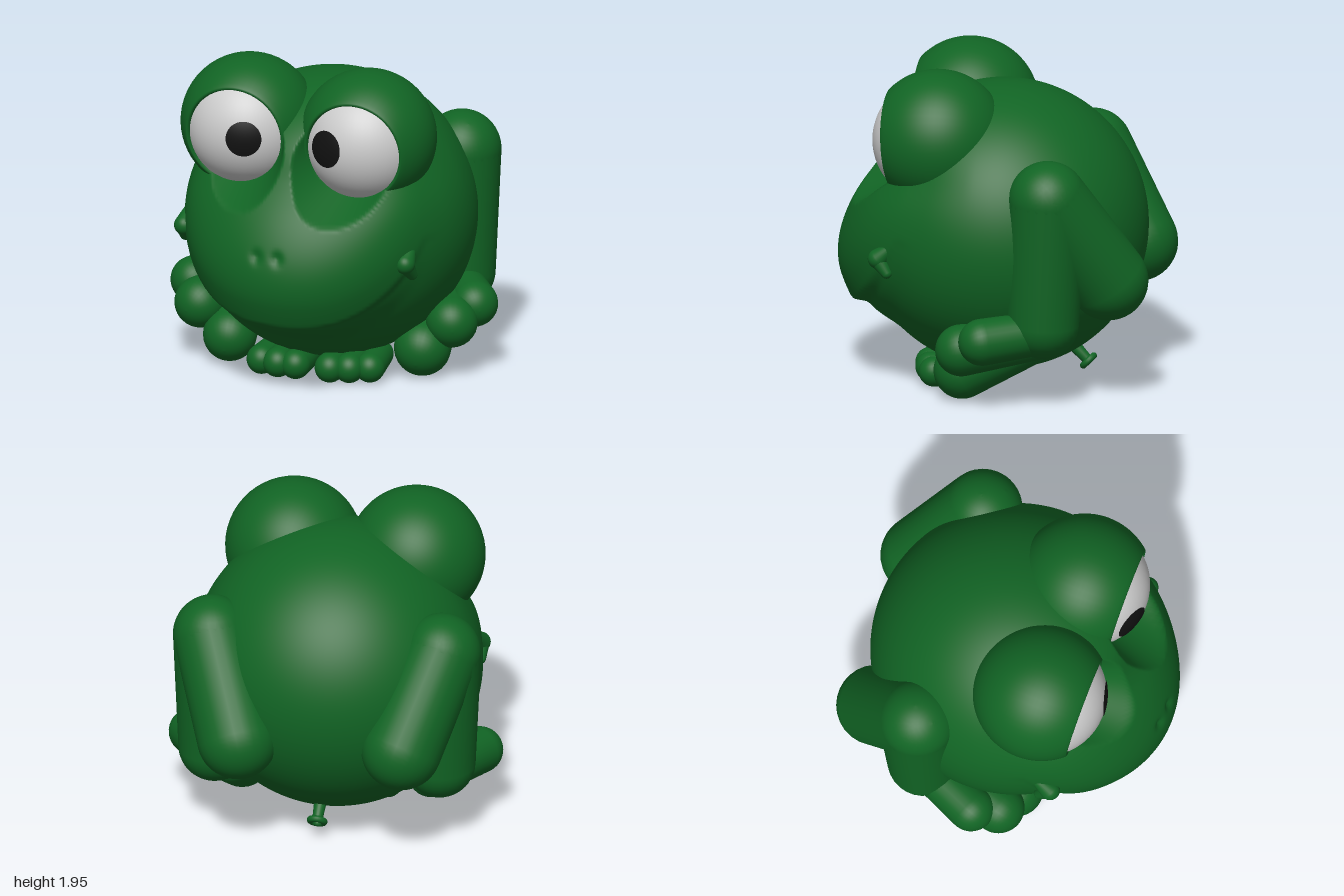
import * as THREE from 'three';
import { mergeVertices } from 'three/addons/utils/BufferGeometryUtils.js';

const mat = (color) => new THREE.MeshStandardMaterial({ color });
const green = mat(0x11642a), white = mat(0xcccccc), black = mat(0x111111);
green.color.set(0x116424);
const V = (a) => new THREE.Vector3(...a);
const UP = new THREE.Vector3(0, 1, 0);
const { smoothstep, degToRad } = THREE.MathUtils;

// Eye centres: right, left; gaze is where the pupil sits off the centre
const EYES = [
  { name: 'right', c: [-0.41, 1.54, 0.33], gaze: [0.095, 0.01], r: 0.107 },
  { name: 'left', c: [0.335, 1.515, 0.33], gaze: [-0.145, 0.02], r: 0.112 },
];
const CENTRE = V([0, 0.95, 0]);
const NOSTRILS = [[-0.142, 0.915, 0.97], [-0.008, 0.915, 0.97]].map((p) => V(p).sub(CENTRE).normalize());

function add(parent, geometry, material, name) {
  const mesh = new THREE.Mesh(geometry, material);
  mesh.name = name;
  parent.add(mesh);
  return mesh;
}

// Rounded limb tapering from a ball of radius r0 at a to one of radius r1 at b
function limb(parent, name, a, b, r0, r1) {
  const from = V(a), dir = V(b).sub(from), len = dir.length();
  const tilt = Math.asin((r0 - r1) / len), pts = [], n = 12;
  for (let i = 0; i <= n; i++) {
    const t = -Math.PI / 2 + (tilt + Math.PI / 2) * i / n;
    pts.push(new THREE.Vector2(Math.max(0, r0 * Math.cos(t)), r0 * Math.sin(t)));
  }
  for (let i = 0; i <= n; i++) {
    const t = tilt + (Math.PI / 2 - tilt) * i / n;
    pts.push(new THREE.Vector2(Math.max(0, r1 * Math.cos(t)), len + r1 * Math.sin(t)));
  }
  const mesh = add(parent, new THREE.LatheGeometry(pts, 28), green, name);
  mesh.position.copy(from);
  mesh.quaternion.setFromUnitVectors(UP, dir.normalize());
  return mesh;
}

// Height of the surface over a plain ball: snout, lip step, brow and nostrils
function relief(d, az, el) {
  const a = (az + 0.07) * 180 / Math.PI, e = el * 180 / Math.PI;
  const side = Math.min(Math.abs(a), 75);
  const lip = -27 + 24 * Math.min(1.4, (side / 56) ** 3) - 3 * Math.sin(az);
  const amount = 0.165 * Math.cos(degToRad(side * 1.2)) ** 2;
  const u = e - lip;
  let h;
  if (u >= 0) h = amount * (1 - smoothstep(u, 8, 50));
  else h = amount * (0.5 * smoothstep(u, -4.5, 0) + 0.5 * smoothstep(u, -22, -2));
  h -= 0.035 * Math.exp(-(((e - 28) / 11) ** 2)) * Math.max(0, Math.cos(az));
  for (const n of NOSTRILS) h -= 0.022 * Math.exp(-d.distanceToSquared(n) / 0.0011);
  return h;
}

function bodyGeometry() {
  let g = new THREE.SphereGeometry(1, 200, 150);
  g.deleteAttribute('uv');
  g.deleteAttribute('normal');
  const p = g.attributes.position, d = new THREE.Vector3();
  for (let i = 0; i < p.count; i++) {
    d.fromBufferAttribute(p, i);
    const el = Math.asin(THREE.MathUtils.clamp(d.y, -1, 1));
    let az = Math.atan2(d.x, d.z);
    az -= 0.5 * Math.sin(az); // finer mesh on the face
    const c = Math.cos(el);
    d.set(c * Math.sin(az), Math.sin(el), c * Math.cos(az));
    d.multiplyScalar(0.865 + relief(d, az, el)).add(CENTRE);
    // Hollows in front of the eyes
    for (const { c: e } of EYES) {
      const dist = Math.hypot(d.x - e[0], d.y - e[1]);
      d.z = Math.min(d.z, 0.5 + Math.max(0, dist - 0.27) * 2.2);
    }
    p.setXYZ(i, d.x, d.y, d.z);
  }
  g = mergeVertices(g, 1e-5);
  g.computeVertexNormals();
  return g;
}

// Hooded lid: open ball facing +z with a rounded rim
function lidGeometry() {
  const pts = [], n = 32, end = degToRad(41);
  for (let i = 0; i <= n; i++) {
    const t = -Math.PI / 2 + (end + Math.PI / 2) * i / n;
    pts.push(new THREE.Vector2(Math.max(0, 0.41 * Math.cos(t)), 0.41 * Math.sin(t)));
  }
  for (const [x, y] of [[0.3, 0.272], [0.291, 0.266], [0.286, 0.25], [0.282, 0.2]]) pts.push(new THREE.Vector2(x, y));
  return new THREE.LatheGeometry(pts, 56).rotateX(Math.PI / 2);
}

export function createModel() {
  const frog = new THREE.Group();
  frog.name = 'frog';
  add(frog, bodyGeometry(), green, 'body');

  // Eyes
  for (const { name, c, gaze, r } of EYES) {
    const eye = new THREE.Group();
    eye.name = name + 'Eye';
    eye.position.set(...c);
    frog.add(eye);
    const lid = add(eye, lidGeometry(), green, 'eyelid');
    lid.position.set(0, 0.012, -0.02);
    lid.rotation.x = 0.08;
    add(eye, new THREE.SphereGeometry(0.37, 48, 32), white, 'eyeball');
    const pupil = add(eye, new THREE.SphereGeometry(0.375, 40, 10, 0, Math.PI * 2, 0, Math.asin(r / 0.375)), black, 'pupil');
    const look = new THREE.Vector3(gaze[0], gaze[1], Math.sqrt(0.137 - gaze[0] ** 2 - gaze[1] ** 2));
    pupil.quaternion.setFromUnitVectors(UP, look.normalize());
  }

  // Cheek dimples at the mouth corners
  for (const [name, x, y, z] of [['rightCheek', -0.765, 0.93, 0.46], ['leftCheek', 0.68, 0.86, 0.56]]) {
    const cheek = new THREE.Group();
    cheek.name = name;
    cheek.position.set(x, y, z);
    cheek.rotation.y = Math.atan2(x, z);
    frog.add(cheek);
    const s = Math.sign(x);
    limb(cheek, 'cheekFold', [s * 0.05, 0.08, -0.05], [-s * 0.03, -0.01, 0.01], 0.03, 0.06);
    limb(cheek, 'cheekHook', [-s * 0.03, -0.01, 0.01], [s * 0.03, -0.09, -0.01], 0.055, 0.032);
  }

  // Hind legs: thigh, shin and three toes
  const hind = [
    { name: 'left', hip: [0.43, 0.75, -0.76], knee: [0.655, 1.27, -0.45], heel: [0.65, 0.52, -0.42],
      toes: [[0.86, 0.43, -0.1, 0.14], [0.77, 0.35, 0.05, 0.155], [0.6, 0.185, 0.09, 0.17]] },
    { name: 'right', hip: [-0.55, 0.75, -0.68], knee: [-0.72, 1.26, -0.36], heel: [-0.7, 0.52, -0.33],
      toes: [[-0.86, 0.44, 0.03, 0.14], [-0.77, 0.35, 0.17, 0.155], [-0.57, 0.18, 0.21, 0.16]] },
  ];
  for (const { name, hip, knee, heel, toes } of hind) {
    const leg = new THREE.Group();
    leg.name = name + 'HindLeg';
    frog.add(leg);
    limb(leg, 'thigh', hip, knee, 0.24, 0.235);
    limb(leg, 'shin', knee, heel, 0.235, 0.215);
    toes.forEach(([x, y, z, r], i) =>
      limb(leg, 'hindToe', [heel[0] * (1 - 0.06 * i), heel[1] - 0.06 - 0.05 * i, heel[2] + 0.06 * i], [x, y, z], 0.13, r));
  }

  // Front feet: three toes each
  for (const [name, x0, dx, zs] of [['left', 0.13, 0.112, [0.41, 0.38, 0.33]], ['right', -0.085, -0.112, [0.41, 0.41, 0.38]]]) {
    const foot = new THREE.Group();
    foot.name = name + 'FrontFoot';
    frog.add(foot);
    zs.forEach((z, i) => limb(foot, 'frontToe', [x0 + dx * i * 0.9, 0.12, 0.1], [x0 + dx * i, 0.103, z], 0.085, 0.09));
  }

  // Air valve under the rear
  const valve = new THREE.Group();
  valve.name = 'airValve';
  valve.position.set(0, 0.14, -0.525);
  valve.quaternion.setFromUnitVectors(UP, V([0, -0.7, -0.7]).normalize());
  frog.add(valve);
  add(valve, new THREE.CylinderGeometry(0.03, 0.04, 0.16, 24), green, 'valveStem').position.y = -0.08;
  add(valve, new THREE.TorusGeometry(0.042, 0.02, 14, 32).rotateX(Math.PI / 2), green, 'valveRim');

  return frog;
}
